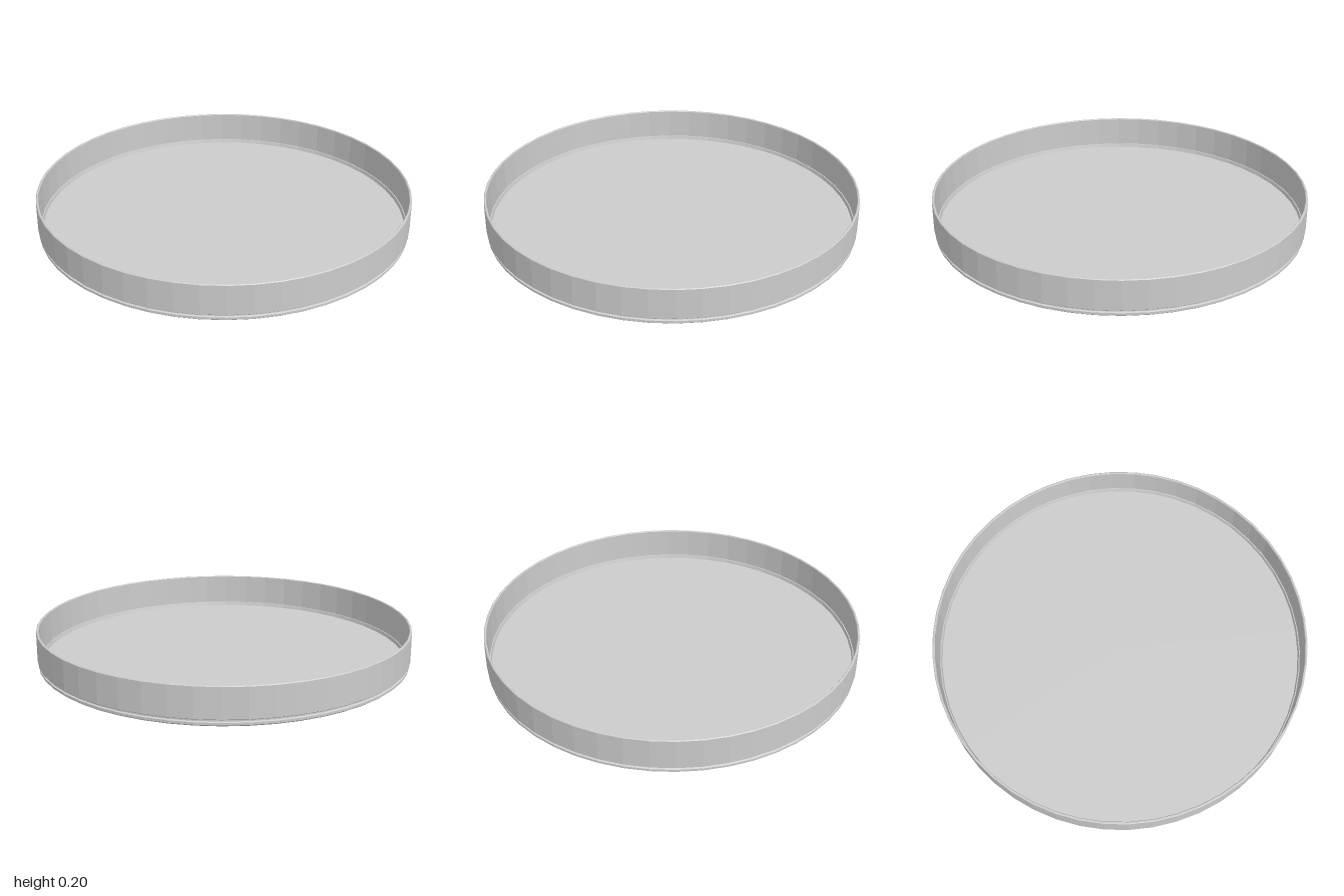
import * as THREE from 'three';

const SIDES = 50;

// Faceted ring or disc turned from [radius, height] pairs
function turned(name, profile) {
  const points = profile.map(([r, y]) => new THREE.Vector2(r, y));
  const geometry = new THREE.LatheGeometry(points, SIDES).rotateY(Math.PI / 2);
  const material = new THREE.MeshStandardMaterial({
    color: 0xcccccc, flatShading: true, side: THREE.DoubleSide,
  });
  const mesh = new THREE.Mesh(geometry, material);
  mesh.name = name;
  return mesh;
}

export function createModel() {
  const group = new THREE.Group();
  group.name = 'shallowRoundTray';

  // Base plate: flat underside, small bevel, recessed floor inside a low step
  group.add(turned('base', [
    [0, 0], [0.985, 0], [0.995, 0.008], [0.995, 0.02], [0.987, 0.024],
    [0.987, 0.034], [0.98, 0.034], [0.975, 0.015], [0, 0.015],
  ]));

  // Thin upright wall, overhanging the groove above the base
  group.add(turned('wall', [
    [0.985, 0.034], [0.995, 0.034], [1, 0.038], [1, 0.196], [0.996, 0.2],
    [0.99, 0.2], [0.987, 0.196], [0.985, 0.034],
  ]));

  return group;
}
